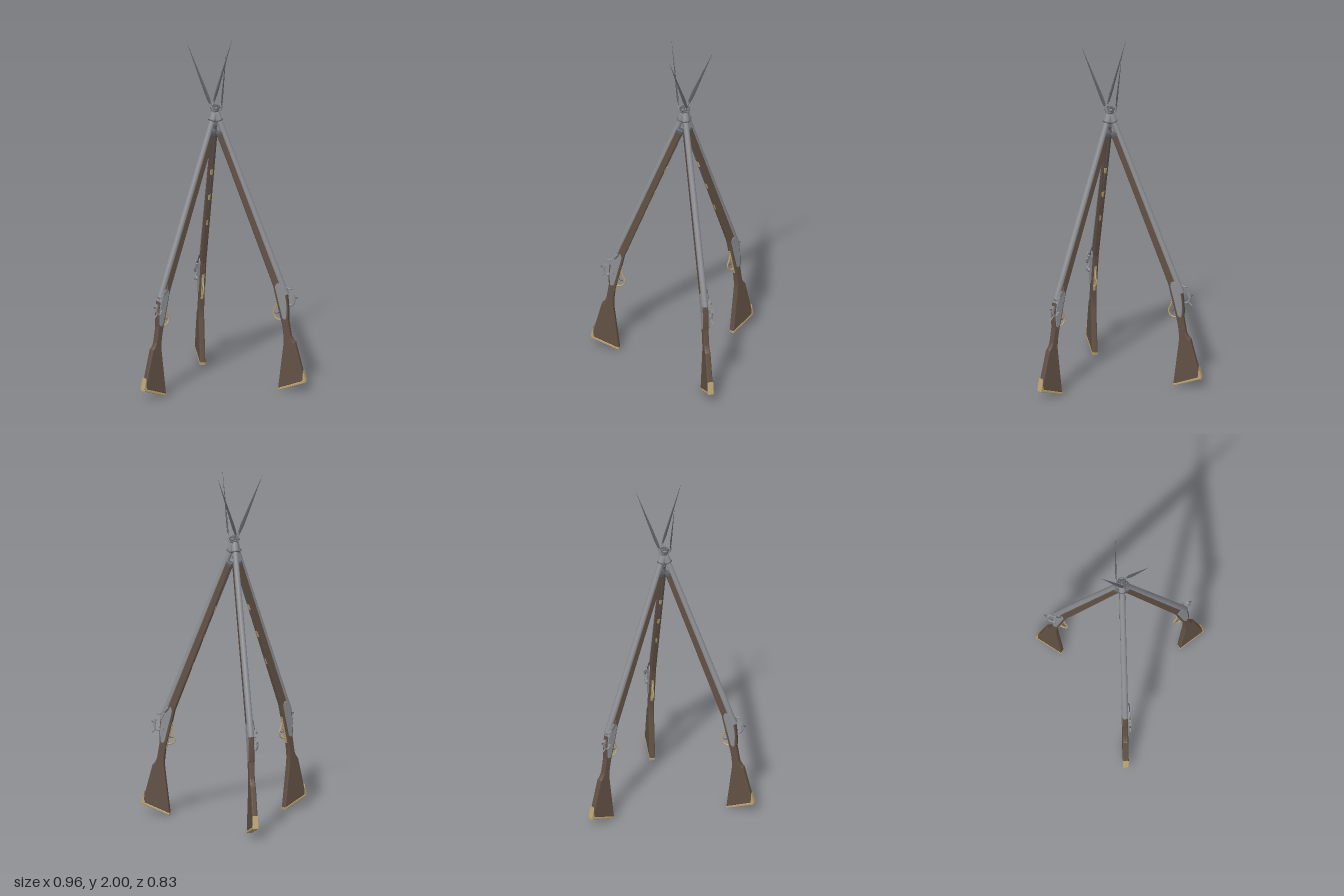
import * as THREE from 'three';

const mat = (color) => new THREE.MeshStandardMaterial({ color, side: THREE.DoubleSide });
const V = (x, y, z) => new THREE.Vector3(x, y, z);

export function createModel() {
  const wood = mat(0x625145), steel = mat(0x8c8e92), dark = mat(0x5c5e62), brass = mat(0xb9a273);
  const TILT = 0.384; // lean of each musket

  const add = (parent, name, geo, material, x = 0, y = 0, z = 0) => {
    const mesh = new THREE.Mesh(geo, material);
    mesh.name = name;
    mesh.position.set(x, y, z);
    parent.add(mesh);
    return mesh;
  };
  // Flat outline extruded across the gun, centred on z, with bevels kept inside the outline
  const slab = (shape, width, bevel) => new THREE.ExtrudeGeometry(shape, {
    depth: width - 2 * bevel, bevelEnabled: true, bevelThickness: bevel, bevelSize: bevel,
    bevelOffset: -bevel, bevelSegments: 3, curveSegments: 10,
  }).translate(0, 0, -width / 2 + bevel);
  const outline = (pts) => new THREE.Shape(pts.map((p) => new THREE.Vector2(...p)));
  const tube = (pts, r, closed = false) =>
    new THREE.TubeGeometry(new THREE.CatmullRomCurve3(pts, closed), 24, r, 8, closed);
  const lathe = (pts) => new THREE.LatheGeometry(pts.map((p) => new THREE.Vector2(...p)), 20);

  // Musket space: muzzle at the origin, +y out of the muzzle, +x upper side, -z lock side
  function musket() {
    const g = new THREE.Group();
    g.name = 'musket';

    // Wooden stock: fore-end, wrist, comb and butt
    const s = new THREE.Shape();
    s.moveTo(0, -0.15);
    s.lineTo(0, -1.14);
    s.lineTo(0.012, -1.145);
    s.quadraticCurveTo(-0.012, -1.24, -0.038, -1.29);
    s.lineTo(-0.058, -1.38);
    s.quadraticCurveTo(-0.058, -1.41, -0.048, -1.425);
    s.lineTo(-0.076, -1.652);
    s.lineTo(-0.247, -1.645);
    s.lineTo(-0.122, -1.42);
    s.quadraticCurveTo(-0.095, -1.37, -0.082, -1.29);
    s.quadraticCurveTo(-0.07, -1.2, -0.05, -1.08);
    s.lineTo(-0.04, -0.15);
    add(g, 'stock', slab(s, 0.033, 0.008), wood);

    // Barrel with open bore
    add(g, 'barrel', lathe([[0.0001, -1.15], [0.0185, -1.15], [0.018, -0.9], [0.016, 0],
      [0.01, 0], [0.01, -0.06], [0.0001, -0.06]]), steel);
    add(g, 'barrelTang', new THREE.BoxGeometry(0.006, 0.11, 0.014), steel, -0.008, -1.195, 0)
      .rotation.z = -0.32;

    // Butt plate with heel tongue
    add(g, 'buttPlate', slab(outline([[-0.073, -1.648], [-0.076, -1.664], [-0.25, -1.656],
      [-0.247, -1.642]]), 0.034, 0.004), brass);
    add(g, 'heelTongue', slab(outline([[-0.062, -1.59], [-0.07, -1.655], [-0.1, -1.655],
      [-0.082, -1.63]]), 0.034, 0.005), brass);

    // Ramrod and its pipes
    add(g, 'ramrod', new THREE.CylinderGeometry(0.005, 0.005, 0.75, 10), dark, -0.041, -0.47);
    for (const y of [-0.43, -0.61, -0.79])
      add(g, 'ramrodPipe', new THREE.CylinderGeometry(0.009, 0.009, 0.035, 12), brass, -0.04, y);
    add(g, 'foreEndCap', slab(outline([[0, -0.14], [0, -0.17], [-0.043, -0.17], [-0.041, -0.14]]),
      0.035, 0.008), dark);

    // Side plates on both flanks, following the wrist
    const plate = new THREE.Shape();
    plate.moveTo(0.004, -1.09);
    plate.quadraticCurveTo(0.006, -1.18, -0.035, -1.26);
    plate.quadraticCurveTo(-0.05, -1.3, -0.065, -1.27);
    plate.quadraticCurveTo(-0.052, -1.18, -0.04, -1.09);
    plate.quadraticCurveTo(-0.018, -1.05, 0.004, -1.09);
    add(g, 'sidePlate', slab(plate, 0.006, 0.002), steel, 0, 0, 0.016);
    add(g, 'lockPlate', slab(plate, 0.009, 0.002), steel, 0, 0, -0.018);

    // Firing lock: pan, cock, jaws and frizzen
    const lock = new THREE.Group();
    lock.name = 'firingLock';
    lock.position.z = -0.027;
    g.add(lock);
    add(lock, 'pan', new THREE.BoxGeometry(0.014, 0.035, 0.016), steel, 0.002, -1.135, 0.002);
    add(lock, 'cockPivot', new THREE.CylinderGeometry(0.012, 0.012, 0.014, 14).rotateX(Math.PI / 2),
      steel, -0.024, -1.205);
    add(lock, 'cock', tube([V(-0.024, -1.205, 0), V(-0.006, -1.222, 0), V(0.014, -1.215, 0),
      V(0.028, -1.195, 0)], 0.006), steel);
    add(lock, 'cockSpur', tube([V(0.008, -1.216, 0), V(0.014, -1.232, 0), V(0.022, -1.248, 0)],
      0.004), steel);
    add(lock, 'cockJaws', new THREE.BoxGeometry(0.012, 0.03, 0.014), steel, 0.03, -1.183, 0);
    add(lock, 'jawScrew', new THREE.CylinderGeometry(0.004, 0.004, 0.028, 8).rotateZ(Math.PI / 2),
      dark, 0.034, -1.19, 0);
    add(lock, 'frizzen', tube([V(0.004, -1.11, 0), V(0.016, -1.125, 0), V(0.026, -1.132, 0),
      V(0.042, -1.13, 0)], 0.005), steel);
    add(lock, 'frizzenSpring', tube([V(-0.004, -1.11, 0.003), V(-0.014, -1.08, 0.003),
      V(-0.012, -1.05, 0.006)], 0.004), dark);

    // Trigger guard and trigger
    add(g, 'triggerGuard', tube([V(-0.06, -1.17, 0), V(-0.085, -1.2, 0), V(-0.11, -1.225, 0),
      V(-0.113, -1.25, 0), V(-0.1, -1.27, 0), V(-0.08, -1.278, 0)], 0.0045), brass);
    add(g, 'guardStrap', new THREE.BoxGeometry(0.006, 0.16, 0.014), brass, -0.073, -1.23, 0)
      .rotation.z = -0.15;
    add(g, 'trigger', tube([V(-0.07, -1.23, 0), V(-0.088, -1.236, 0), V(-0.1, -1.23, 0)], 0.003), dark);

    // Bayonet: socket, locking rings, side elbow and tapered blade
    add(g, 'bayonetSocket', lathe([[0.0165, -0.085], [0.021, -0.085], [0.021, 0.005],
      [0.0165, 0.005], [0.0165, -0.085]]), steel);
    for (const y of [-0.082, -0.025, 0.002])
      add(g, 'socketRing', new THREE.TorusGeometry(0.021, 0.0035, 8, 24).rotateX(Math.PI / 2),
        dark, 0, y);
    add(g, 'bayonetElbow', tube([V(0, -0.025, 0.018), V(0, -0.018, 0.03), V(0, 0.0, 0.035),
      V(0, 0.03, 0.034)], 0.005), steel);
    add(g, 'bayonetBlade', lathe([[0.0001, 0], [0.006, 0.005], [0.0105, 0.06], [0.007, 0.18],
      [0.0001, 0.385]]).scale(1, 1, 0.4), dark, 0, 0.014, 0.033);

    g.rotation.z = TILT;
    g.position.set(-0.008, 1.63, 0);
    return g;
  }

  // Three muskets leaning together around one upright axis
  const model = new THREE.Group();
  model.name = 'stackedMuskets';
  for (let i = 0; i < 3; i++) {
    const leg = new THREE.Group();
    leg.name = 'musketLeg';
    leg.position.z = 0.13;
    leg.rotation.y = Math.PI / 2 + (i * 2 * Math.PI) / 3;
    leg.add(musket());
    model.add(leg);
  }
  return model;
}
